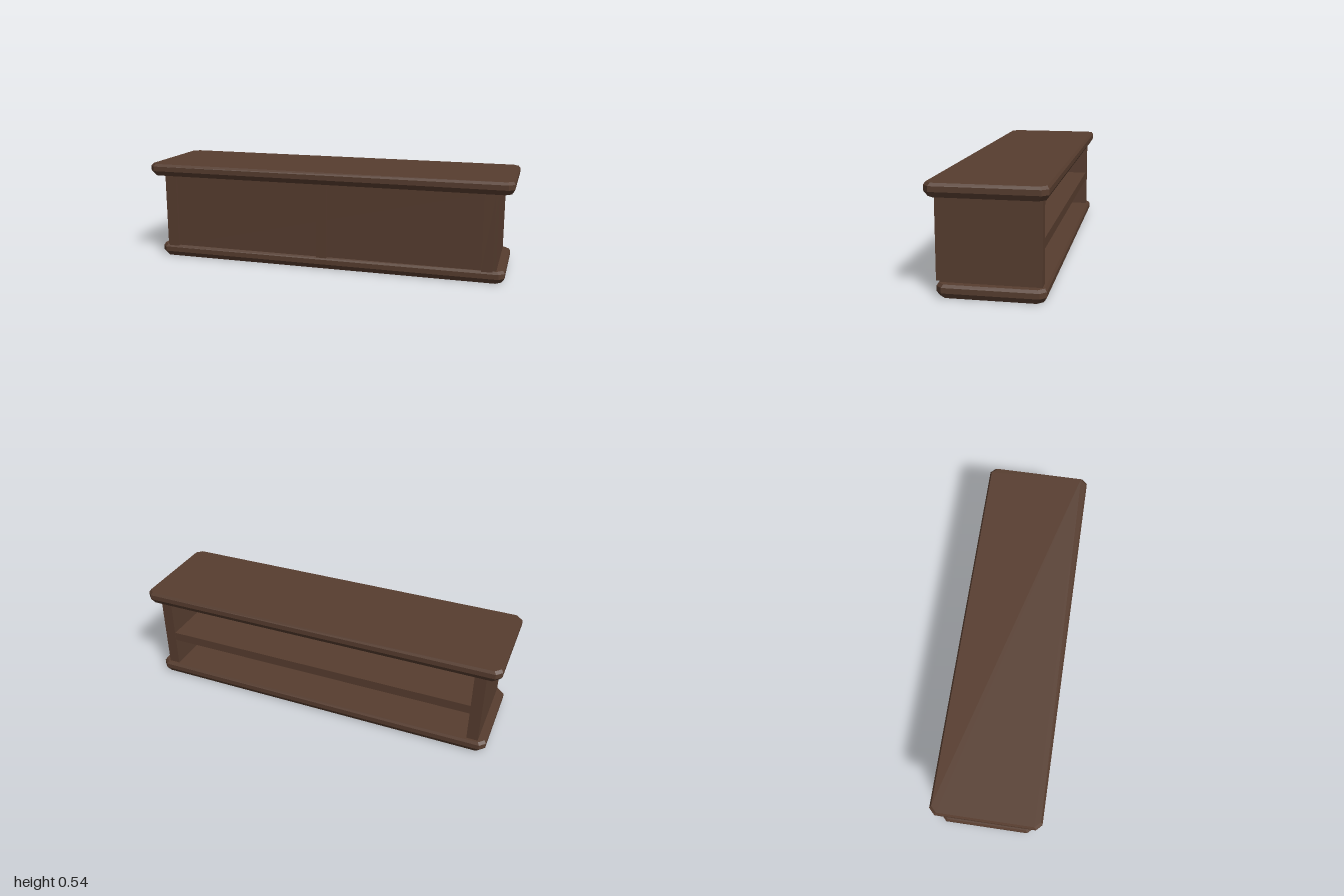
import * as THREE from 'three';

const wood = new THREE.MeshStandardMaterial({ color: 0x573d2f, side: THREE.DoubleSide });
wood.name = 'dark brown wood';

// Slab with cut corners and a bevelled rim, standing on y; it may be hollow underneath
function slab(name, halfX, halfZ, y, z, hollow) {
  const cut = 0.029;
  const levels = [[0, 0.015], [0.026, 0], [0.052, 0], [0.066, 0.009]];
  const rings = levels.map(([h, inset]) => {
    const a = halfX - inset, b = halfZ - inset;
    return [
      [a, b - cut], [a, cut - b], [a - cut, -b], [cut - a, -b],
      [-a, cut - b], [-a, b - cut], [cut - a, b], [a - cut, b],
    ].map(([px, pz]) => [px, h, pz]);
  });
  const corners = [];
  // Rim facets between neighbouring rings
  for (let i = 0; i < 3; i++) {
    for (let j = 0; j < 8; j++) {
      const k = (j + 1) % 8;
      const [p, q, r, s] = [rings[i][j], rings[i][k], rings[i + 1][k], rings[i + 1][j]];
      corners.push(p, q, r, p, r, s);
    }
  }
  // Flat top and, on a solid slab, flat underside
  for (let j = 1; j < 7; j++) {
    corners.push(rings[3][0], rings[3][j], rings[3][j + 1]);
    if (!hollow) corners.push(rings[0][0], rings[0][j + 1], rings[0][j]);
  }
  const geometry = new THREE.BufferGeometry();
  geometry.setAttribute('position', new THREE.Float32BufferAttribute(corners.flat(), 3));
  geometry.computeVertexNormals();
  const mesh = new THREE.Mesh(geometry, wood);
  mesh.name = name;
  mesh.position.set(0, y, z);
  return mesh;
}

// Box given by its limits on each axis
function board(name, x0, x1, y0, y1, z0, z1) {
  const mesh = new THREE.Mesh(new THREE.BoxGeometry(x1 - x0, y1 - y0, z1 - z0), wood);
  mesh.name = name;
  mesh.position.set((x0 + x1) / 2, (y0 + y1) / 2, (z0 + z1) / 2);
  return mesh;
}

export function createModel() {
  const counter = new THREE.Group();
  counter.name = 'counter';
  const low = 0.066, high = 0.472;

  // Base, hollow underneath, and worktop
  counter.add(slab('base', 0.97, 0.2545, 0, -0.0135, true));
  counter.add(slab('worktop', 1, 0.281, high, 0, false));

  // Carcass, open at the back
  counter.add(board('rightSide', -0.928, -0.868, low, high, -0.247, 0.23));
  counter.add(board('leftSide', 0.868, 0.928, low, high, -0.247, 0.23));
  counter.add(board('frontPanel', -0.868, 0.868, low, high, 0.17, 0.23));
  counter.add(board('shelf', -0.868, 0.868, 0.226, 0.275, -0.244, 0.17));

  // Trim posts on the front
  for (const [name, x] of [['rightPost', -0.882], ['middlePost', 0], ['leftPost', 0.882]]) {
    counter.add(board(name, x - 0.029, x + 0.029, low, high, 0.23, 0.252));
  }
  return counter;
}
